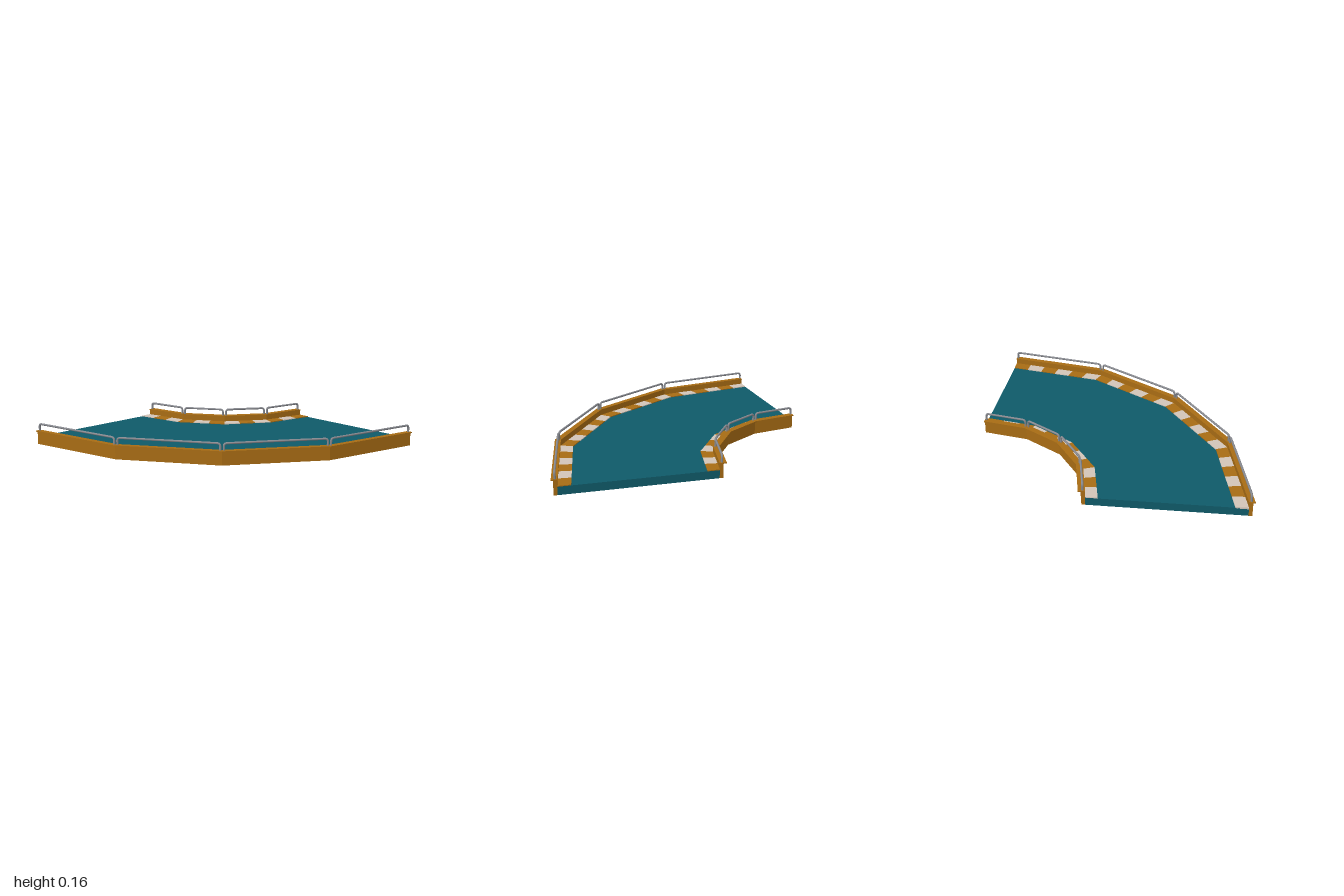
import * as THREE from 'three';
import { mergeGeometries } from 'three/addons/utils/BufferGeometryUtils.js';

const SEGMENTS = 4; // facets in the quarter turn

const mat = (color) => new THREE.MeshStandardMaterial({ color, flatShading: true });

// Point on the faceted arc about the corner (1, -1); u runs 0..1 round the bend
function arcPoint(r, u) {
  const s = u * SEGMENTS;
  const i = Math.min(Math.floor(s + 1e-6), SEGMENTS - 1);
  const corner = (k) => {
    const a = (k / SEGMENTS) * Math.PI / 2;
    return new THREE.Vector2(1 - r * Math.cos(a), -1 + r * Math.sin(a));
  };
  return corner(i).lerp(corner(i + 1), s - i);
}

// Slab between two radii and two heights, over part of the bend
function band(r0, r1, y0, y1, u0 = 0, u1 = 1, steps = SEGMENTS) {
  const pts = [];
  for (let i = 0; i <= steps; i++) pts.push(arcPoint(r0, u0 + (u1 - u0) * i / steps));
  for (let i = steps; i >= 0; i--) pts.push(arcPoint(r1, u0 + (u1 - u0) * i / steps));
  const shape = new THREE.Shape(pts.map((p) => new THREE.Vector2(p.x, -p.y)));
  return new THREE.ExtrudeGeometry(shape, { depth: y1 - y0, bevelEnabled: false })
    .rotateX(-Math.PI / 2).translate(0, y0, 0);
}

// Hoop of bent tube along one facet, standing on the wall
function railHoop(r, i) {
  const base = 0.1, top = 0.156, bend = 0.022, inset = 0.013;
  const a = arcPoint(r, i / SEGMENTS), b = arcPoint(r, (i + 1) / SEGMENTS);
  const len = a.distanceTo(b);
  const at = (d, y) => {
    const p = a.clone().lerp(b, d / len);
    return new THREE.Vector3(p.x, y, p.y);
  };
  const s = inset, e = len - inset;
  const path = new THREE.CurvePath();
  path.add(new THREE.LineCurve3(at(s, base), at(s, top - bend)));
  path.add(new THREE.QuadraticBezierCurve3(at(s, top - bend), at(s, top), at(s + bend, top)));
  path.add(new THREE.LineCurve3(at(s + bend, top), at(e - bend, top)));
  path.add(new THREE.QuadraticBezierCurve3(at(e - bend, top), at(e, top), at(e, top - bend)));
  path.add(new THREE.LineCurve3(at(e, top - bend), at(e, base)));
  return new THREE.TubeGeometry(path, 90, 0.008, 8);
}

export function createModel() {
  const group = new THREE.Group();
  const orange = mat(0xa86c14), teal = mat(0x0f5a69), white = mat(0xd2c4b8);
  const metal = new THREE.MeshStandardMaterial({ color: 0x888a90 });
  const add = (name, geometry, material) => {
    const mesh = new THREE.Mesh(geometry, material);
    mesh.name = name;
    group.add(mesh);
  };

  // Road deck
  add('deck', band(0.89, 1.96, 0, 0.056), teal);

  const sides = [
    { name: 'outer', wall: [1.96, 1.985], cap: [1.957, 2.0], curb: [1.872, 1.96], stripes: 24, rail: 1.975 },
    { name: 'inner', wall: [0.865, 0.89], cap: [0.843, 0.892], curb: [0.89, 0.975], stripes: 12, rail: 0.875 },
  ];
  for (const s of sides) {
    // Side wall with a thin overhanging cap
    add(s.name + 'Wall', band(...s.wall, 0, 0.1), orange);
    add(s.name + 'WallCap', band(...s.cap, 0.098, 0.106), orange);

    // Striped curb, alternating white and orange
    const stripes = [[], []];
    for (let i = 0; i < s.stripes; i++) {
      stripes[i % 2].push(band(...s.curb, 0.05, 0.062, i / s.stripes, (i + 1) / s.stripes, 1));
    }
    // Pull the far end of each stripe onto its own facet
    add(s.name + 'CurbWhite', mergeGeometries(stripes[0]), white);
    add(s.name + 'CurbOrange', mergeGeometries(stripes[1]), orange);

    // Guard rails, one hoop per facet
    const hoops = [];
    for (let i = 0; i < SEGMENTS; i++) hoops.push(railHoop(s.rail, i));
    add(s.name + 'Rail', mergeGeometries(hoops), metal);
  }
  return group;
}
